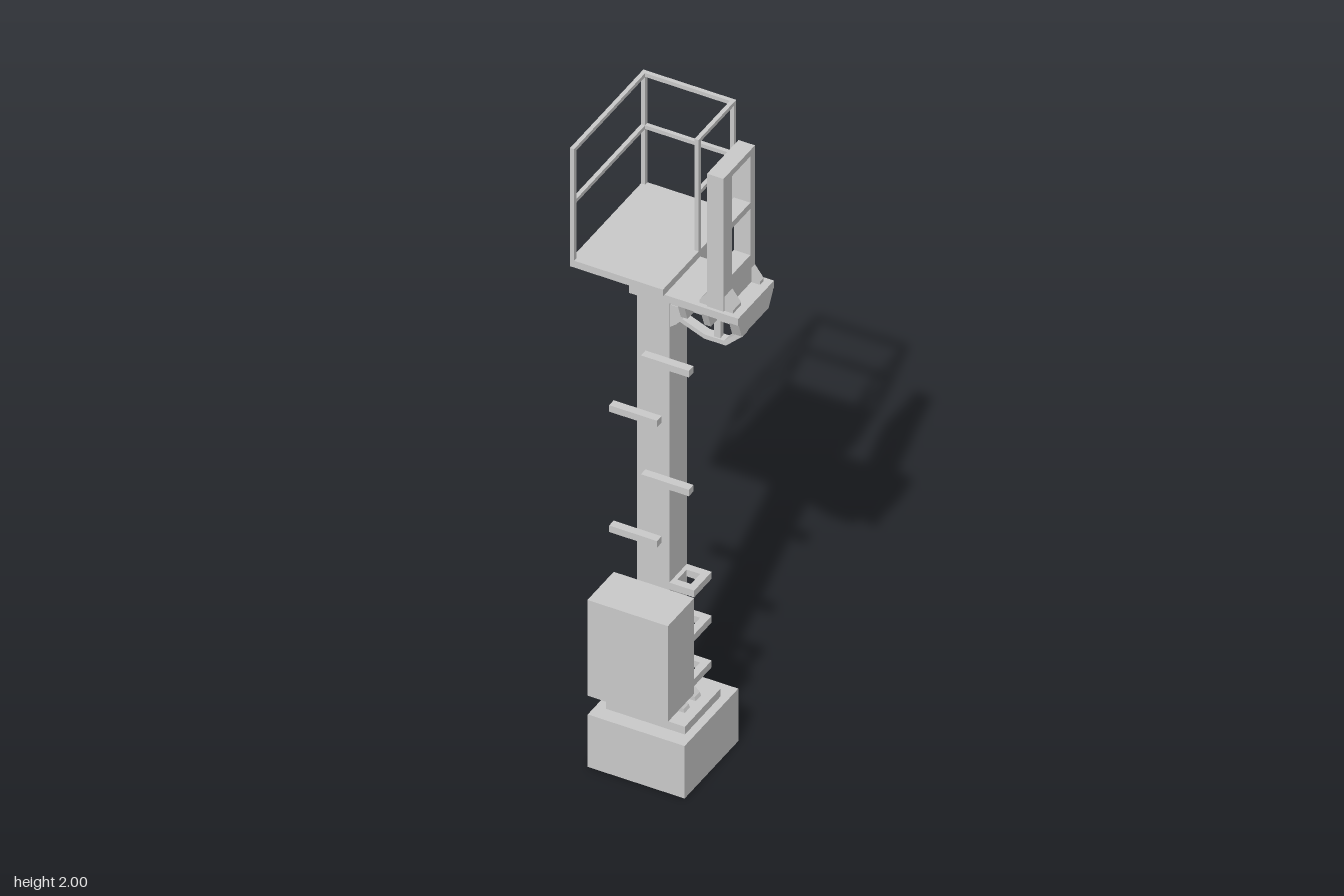
import * as THREE from 'three';

const material = new THREE.MeshStandardMaterial({ color: 0xcccccc, flatShading: true });

export function createModel() {
  const root = new THREE.Group();
  root.name = 'signalMast';

  function add(name, geometry) {
    const mesh = new THREE.Mesh(geometry, material);
    mesh.name = name;
    root.add(mesh);
    return mesh;
  }
  // Box given by its lower and upper limits on each axis
  function box(name, x0, x1, y0, y1, z0, z1) {
    const g = new THREE.BoxGeometry(x1 - x0, y1 - y0, z1 - z0);
    g.translate((x0 + x1) / 2, (y0 + y1) / 2, (z0 + z1) / 2);
    return add(name, g);
  }
  const vectors = (points) => points.map(([a, b]) => new THREE.Vector2(a, b));
  function extrude(points, depth, holes = []) {
    const shape = new THREE.Shape(vectors(points));
    holes.forEach((h) => shape.holes.push(new THREE.Path(vectors(h))));
    return new THREE.ExtrudeGeometry(shape, { depth, bevelEnabled: false });
  }
  const rect = (a0, a1, b0, b1) => [[a0, b0], [a1, b0], [a1, b1], [a0, b1]];
  // Plate with an (x, y) outline between two z limits
  const plateXY = (name, points, z0, z1) =>
    add(name, extrude(points, z1 - z0).translate(0, 0, z0));
  // Plate with a (z, y) outline between two x limits
  const plateZY = (name, points, x0, x1, holes) =>
    add(name, extrude(points, x1 - x0, holes).rotateY(-Math.PI / 2).translate(x1, 0, 0));
  // Plate with an (x, z) outline between two y limits
  const plateXZ = (name, points, y0, y1, holes) =>
    add(name, extrude(points, y1 - y0, holes).rotateX(Math.PI / 2).translate(0, y1, 0));

  // Foundation, foot plate and mast
  box('foundation', -0.175, 0.114, 0, 0.17, -0.097, 0.193);
  box('footPlate', -0.146, 0.09, 0.17, 0.195, -0.045, 0.148);
  box('mast', -0.08, 0.016, 0.195, 1.57, 0.003, 0.098);
  box('mastBackStrip', -0.065, -0.005, 1.105, 1.5, -0.007, 0.003);

  // Paired gussets on both sides of the mast foot
  for (const z of [0.006, 0.066]) {
    for (const s of [-1, 1]) {
      const x = (d) => -0.032 + s * d;
      const points = [[x(0.046), 0.195], [x(0.092), 0.195], [x(0.088), 0.205], [x(0.046), 0.245]];
      plateXY('footGusset', points, z, z + 0.029);
    }
  }

  // Equipment cabinet and the open shelf brackets beside it
  box('cabinet', -0.15, 0.09, 0.27, 0.58, 0.098, 0.24);
  for (const y of [0.295, 0.44, 0.582]) {
    plateXZ('cabinetBracket', rect(0.016, 0.09, 0.003, 0.098), y, y + 0.022,
      [rect(0.016 + 0.012, 0.068, 0.026, 0.076)]);
  }

  // Alternating climbing steps
  [0.725, 0.925, 1.115, 1.31].forEach((y, i) => {
    const x0 = i % 2 ? -0.055 : -0.15;
    box('climbingStep', x0, x0 + 0.143, y, y + 0.021, 0.098, 0.123);
  });

  // Work platform with its carrying angles
  box('platform', -0.25, 0.027, 1.57, 1.592, -0.243, 0.153);
  box('platformBeam', -0.105, -0.08, 1.5, 1.57, -0.21, 0.098);
  box('platformBeam', 0.004, 0.026, 1.5, 1.57, -0.21, 0.003);
  box('platformFlange', -0.152, -0.105, 1.548, 1.57, -0.21, 0.098);
  box('platformCrossBeam', -0.08, 0.004, 1.5, 1.57, -0.21, -0.19);

  // Guard rail: left side, back, and a short return on the right
  const t = 0.012;
  const [xl, xr, zb] = [-0.25, 0.015, -0.243];
  for (const [x, z] of [[xl, 0.141], [xl, zb], [xr, zb], [xr, -0.052]]) {
    box('railPost', x, x + t, 1.58, 1.953, z, z + t);
  }
  for (const y of [1.772, 1.941]) {
    box('leftRail', xl, xl + t, y, y + t, zb, 0.153);
    box('backRail', xl, xr + t, y, y + t, zb, zb + t);
    box('rightRail', xr, xr + t, y, y + t, zb, -0.04);
  }

  // Signal head frame with two through openings
  plateZY('signalFrame', rect(-0.035, 0.135, 1.57, 2), 0.149, 0.198,
    [rect(-0.01, 0.09, 1.66, 1.81), rect(-0.01, 0.09, 1.83, 1.98)]);
  for (const [z0, z1] of [[-0.035, -0.015], [0.087, 0.13]]) {
    for (const s of [-1, 1]) {
      const x = (d) => 0.174 + s * d;
      plateXY('signalFoot', [[x(0.024), 1.568], [x(0.05), 1.568], [x(0.05), 1.58], [x(0.024), 1.615]], z0, z1);
    }
  }

  // Bracket carrying the signal head
  box('bracketPlate', 0.026, 0.247, 1.547, 1.57, -0.049, 0.144);
  const rib = [[-0.02, 1.5], [0.125, 1.5], [0.142, 1.548], [-0.047, 1.548]];
  plateZY('bracketEndPlate', rib, 0.218, 0.247);
  for (const x of [0.065, 0.135]) plateZY('bracketRib', rib, x, x + 0.02);
  for (const z of [0.008, 0.07]) box('bracketBeam', 0.01, 0.22, 1.5, 1.548, z, z + 0.022);

  // Bent support loop, hanger and diagonal braces below the bracket
  const loop = [
    [0.016, 1.435], [0.1, 1.402], [0.165, 1.402], [0.216, 1.45], [0.216, 1.505],
    [0.202, 1.505], [0.202, 1.456], [0.16, 1.416], [0.102, 1.416], [0.016, 1.45],
  ];
  plateXY('supportLoop', loop, 0.035, 0.063);
  box('loopHanger', 0.127, 0.146, 1.405, 1.505, 0.04, 0.058);
  for (const z of [0.005, 0.076]) {
    plateXY('diagonalBrace', [[0.016, 1.43], [0.035, 1.445], [0.08, 1.502], [0.016, 1.502]], z, z + 0.018);
  }

  return root;
}
